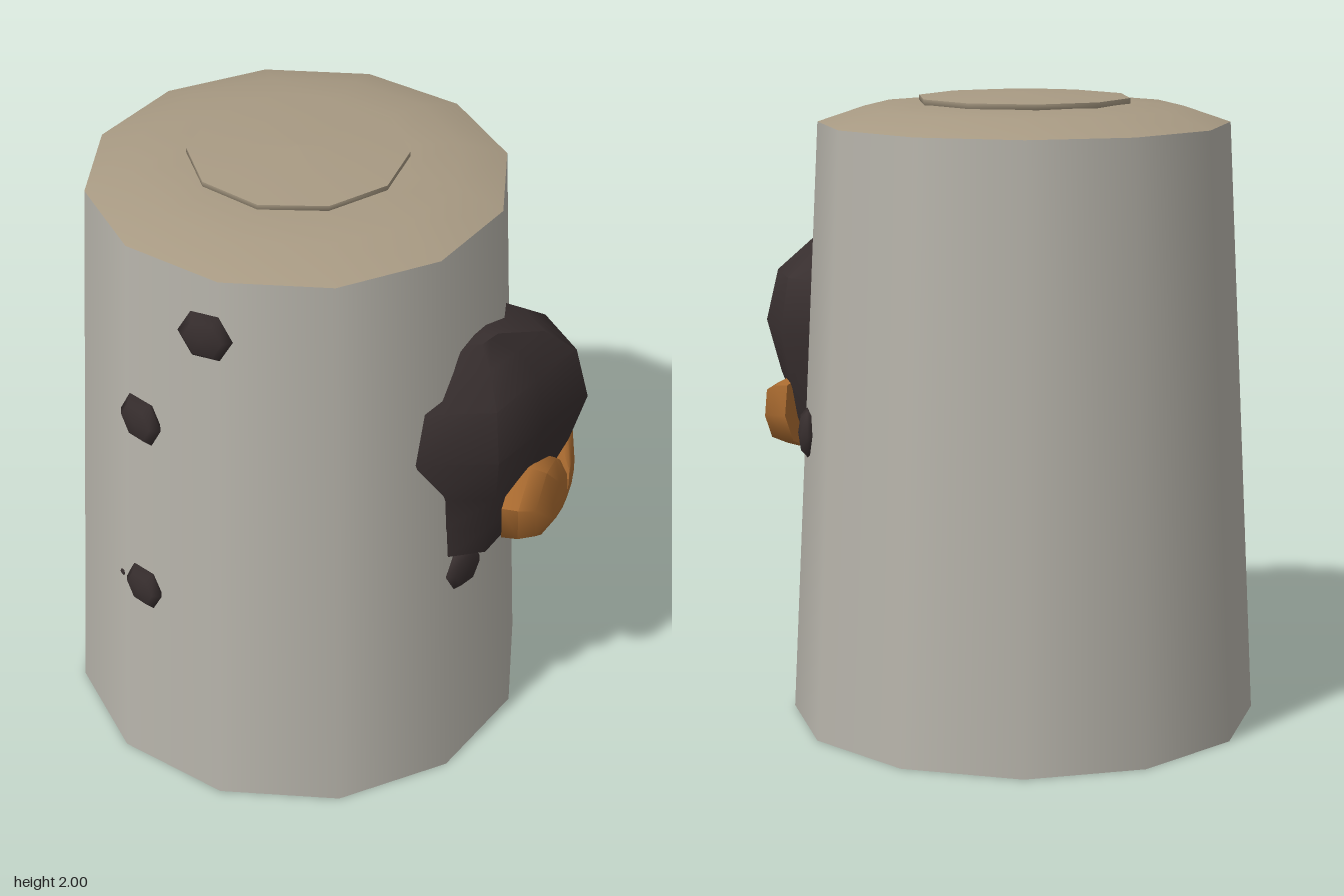
import * as THREE from 'three';
import { toCreasedNormals } from 'three/addons/utils/BufferGeometryUtils.js';

const CX = -0.087; // axis of the drum

function material(name, color) {
  const m = new THREE.MeshStandardMaterial({ color });
  m.name = name;
  return m;
}

// Closed skin over rings of equal length, capped at both ends
function loft(rings) {
  const n = rings[0].length, pos = rings.flat(2), index = [];
  rings.slice(1).forEach((_, i) => {
    for (let j = 0; j < n; j++) {
      const a = i * n + j, b = i * n + (j + 1) % n;
      index.push(a, b, b + n, a, b + n, a + n);
    }
  });
  [rings[0], rings[rings.length - 1]].forEach((ring, end) => {
    const c = pos.length / 3, base = end ? (rings.length - 1) * n : 0;
    for (let k = 0; k < 3; k++) pos.push(ring.reduce((s, p) => s + p[k], 0) / n);
    for (let j = 0; j < n; j++) {
      const a = base + j, b = base + (j + 1) % n;
      if (end) index.push(a, b, c); else index.push(b, a, c);
    }
  });
  const g = new THREE.BufferGeometry();
  g.setAttribute('position', new THREE.Float32BufferAttribute(pos, 3));
  g.setIndex(index);
  return toCreasedNormals(g, 0.9);
}

function lathe(points, sides) {
  return new THREE.LatheGeometry(points.map(p => new THREE.Vector2(...p)), sides);
}

export function createModel() {
  const group = new THREE.Group();
  const grey = material('grey shell', 0xb6b3aa);
  const tan = material('tan lid', 0xa89a83);
  const dark = material('dark brown', 0x382f2f);
  const orange = material('orange', 0xaa6b30);

  const add = (name, geometry, mat, x = 0, y = 0, z = 0) => {
    const mesh = new THREE.Mesh(geometry, mat);
    mesh.name = name;
    mesh.position.set(x, y, z);
    group.add(mesh);
    return mesh;
  };

  // Tapered twelve-sided drum
  add('drumWall', lathe([[0.745, 0], [0.648, 1.905]], 12), grey, CX);
  add('drumBase', lathe([[0, 0], [0.745, 0]], 12), grey, CX);

  // Bevelled lid with a low ten-sided cap
  add('lid', lathe([[0.648, 1.905], [0.5, 1.955], [0.32, 1.968], [0, 1.968]], 12), tan, CX);
  add('lidCapRim', lathe([[0.325, 1.96], [0.338, 1.968], [0.338, 1.984]], 10), tan, CX);
  add('lidCapTop', lathe([[0.338, 1.984], [0.18, 1.996], [0, 2]], 10), tan, CX);

  // Lump on the left side: level, front z, back z, inner x, outer x
  const levels = [
    [0.775, 0.17, -0.13, 0.55, 0.66],
    [0.83, 0.335, -0.2, 0.52, 0.7],
    [0.93, 0.345, -0.25, 0.5, 0.73],
    [1.05, 0.355, -0.265, 0.47, 0.78],
    [1.22, 0.41, -0.3, 0.44, 0.828],
    [1.39, 0.38, -0.28, 0.455, 0.785],
    [1.49, 0.29, -0.14, 0.475, 0.7],
    [1.56, 0.22, 0.1, 0.53, 0.6],
  ];
  const section = [[0, 0], [0.13, 0.6], [0.45, 0.8], [0.74, 1], [0.97, 0.56], [1, 0.15]];
  add('lump', loft(levels.map(([y, z0, z1, x0, x1]) =>
    section.map(([u, f]) => [x0 + f * (x1 - x0), y, z0 + u * (z1 - z0)]))), dark);

  // Notched orange pad bulging from the lump, outline as z, y
  const outline = [
    [0.25, 1.0], [0.24, 0.88], [0.15, 0.82], [0, 0.79], [-0.1, 0.8], [-0.2, 0.84],
    [-0.245, 0.93], [-0.23, 1.03], [-0.16, 1.045], [-0.12, 1.0], [-0.1, 0.88],
    [-0.09, 0.88], [-0.065, 1.01], [0, 1.06], [0.12, 1.08],
  ];
  const padRings = [[1, 0.67], [0.97, 0.72], [0.86, 0.765], [0.5, 0.788], [0.1, 0.79]];
  add('pad', loft(padRings.map(([s, x]) =>
    outline.map(([z, y]) => [x, 0.845 + s * (y - 0.845), -0.095 + s * (z + 0.095)]))), orange);

  // Flattened six-sided spots lying on the wall
  const spotGeometry = new THREE.SphereGeometry(1, 6, 4).rotateX(Math.PI / 2);
  const spots = [
    [-0.12, 1.73, 0.675, 0.088], [-0.365, 1.33, 0.615, 0.088], [-0.37, 0.70, 0.64, 0.08],
    [-0.46, 0.70, 0.6, 0.012], [0.485, 0.92, -0.385, 0.085], [0.56, 0.76, 0.275, 0.08],
  ];
  spots.forEach(([x, y, z, r], i) => {
    const spot = add('spot' + (i + 1), spotGeometry, dark, x, y, z);
    spot.rotation.y = Math.atan2(x - CX, z);
    spot.scale.set(r, r, r * 0.36);
  });

  return group;
}
